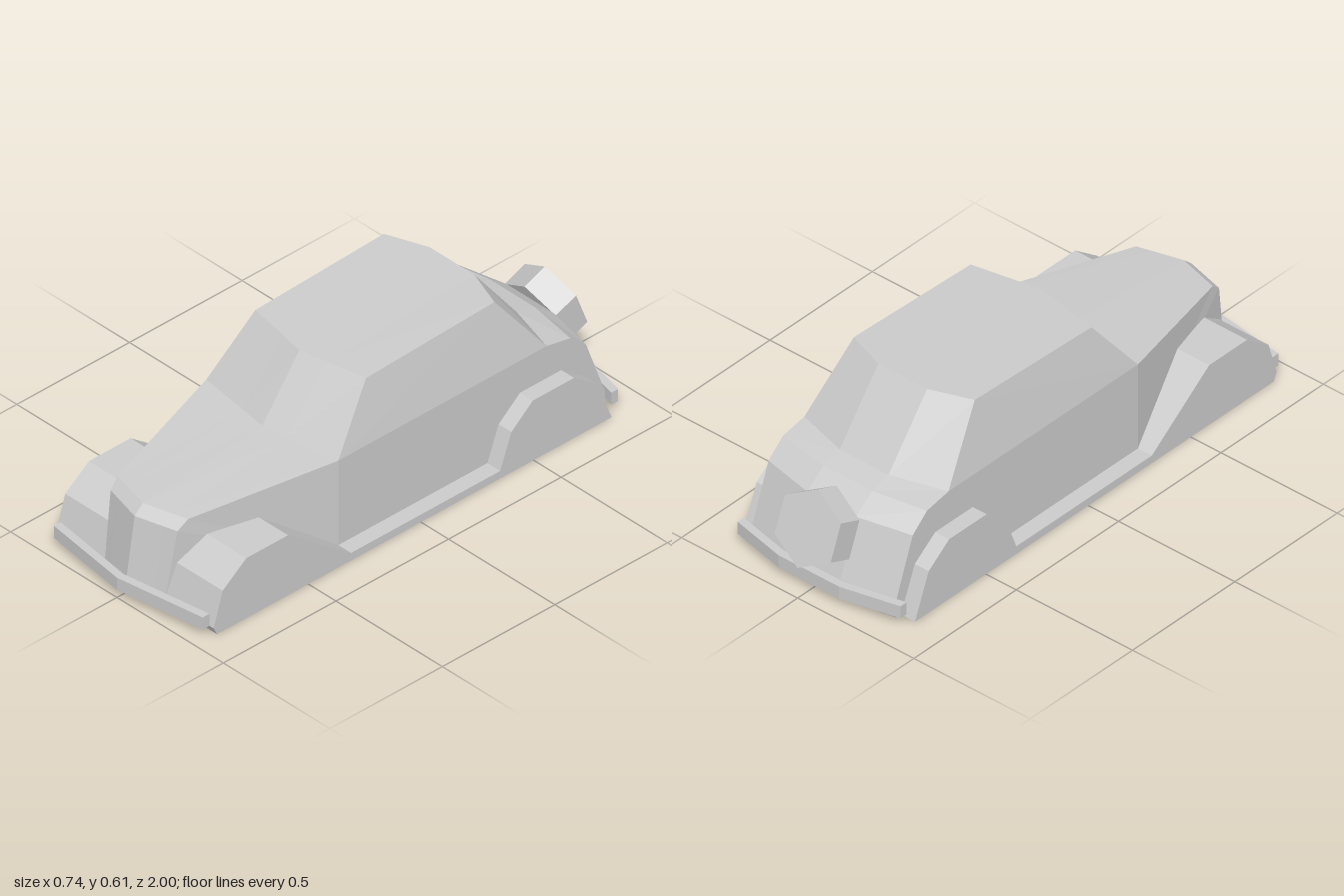
import * as THREE from 'three';

const material = new THREE.MeshStandardMaterial({ color: 0xcccccc, flatShading: true });

function addMesh(group, name, geometry) {
  const mesh = new THREE.Mesh(geometry, material);
  mesh.name = name;
  group.add(mesh);
  return mesh;
}

function extrude(points, depth) {
  const shape = new THREE.Shape(points.map(([x, y]) => new THREE.Vector2(x, y)));
  return new THREE.ExtrudeGeometry(shape, { depth, bevelEnabled: false });
}

// Body stations, nose to tail over the roof: half width, y, z at the edge, z at the middle
const STATIONS = [
  [0.14, 0, 0.9, 0.94],
  [0.142, 0.03, 0.92, 0.962],
  [0.157, 0.285, 0.88, 0.922],
  [0.165, 0.318, 0.84, 0.885],
  [0.31, 0.365, 0.31, 0.355],
  [0.26, 0.583, 0.14, 0.19],
  [0.26, 0.605, -0.43, -0.487],
  [0.31, 0.365, -0.615, -0.675],
  [0.31, 0.345, -0.72, -0.755],
  [0.31, 0.285, -0.79, -0.835],
  [0.31, 0.03, -0.885, -0.925],
  [0.31, 0, -0.87, -0.91],
  [0.31, 0, 0.31, 0.31],
];

function bodyGeometry() {
  const positions = [];
  const fan = (pts) => {
    for (let i = 1; i < pts.length - 1; i++) positions.push(...pts[0], ...pts[i], ...pts[i + 1]);
  };

  // The front is a shallow V; the tail has a flat middle panel
  const rows = STATIONS.map(([w, y, edge, mid]) => {
    const m = 0.105;
    const zm = edge < 0 ? mid : mid + (edge - mid) * (m / w);
    return [[-w, y, edge], [-m, y, zm], [0, y, mid], [m, y, zm], [w, y, edge]];
  });
  rows.forEach((row, s) => {
    const next = rows[(s + 1) % rows.length];
    for (let i = 0; i < 4; i++) fan([row[i], row[i + 1], next[i + 1], next[i]]);
  });

  // Sides: bonnet, lower body and cabin
  const sides = [[12, 4, 3, 2, 1, 0], [12, 11, 10, 9, 8, 7, 4], [4, 7, 6, 5]];
  for (const side of sides) {
    fan(side.map((s) => rows[s][4]));
    const mirrored = side.map((s) => rows[s][0]);
    fan([mirrored[0], ...mirrored.slice(1).reverse()]);
  }

  const geometry = new THREE.BufferGeometry();
  geometry.setAttribute('position', new THREE.Float32BufferAttribute(positions, 3));
  geometry.computeVertexNormals();
  return geometry;
}

// A bar following a bent front edge, given for the left half from the end inward
function bumperGeometry(half, thickness) {
  const outer = [...half, ...half.filter(([x]) => x > 0).reverse().map(([x, z]) => [-x, z])];
  const inner = outer.map(([x, z]) => [x, z - thickness]).reverse();
  return extrude([...outer, ...inner], 0.048).rotateX(Math.PI / 2).translate(0, 0.078, 0);
}

export function createModel() {
  const group = new THREE.Group();
  group.name = 'car';

  addMesh(group, 'body', bodyGeometry());

  // Fenders and running boards share one side outline (z, y)
  const fenders = extrude([
    [0.905, 0], [0.92, 0.03], [0.88, 0.16], [0.775, 0.238], [0.59, 0.238], [0.31, 0.03],
    [-0.352, 0.03], [-0.402, 0.16], [-0.497, 0.238], [-0.68, 0.238], [-0.78, 0.165], [-0.847, 0],
  ], 0.74);
  fenders.translate(0, 0, -0.37).rotateY(-Math.PI / 2);
  addMesh(group, 'fendersAndRunningBoards', fenders);

  // Bumpers
  addMesh(group, 'frontBumper', bumperGeometry([[0.35, 0.95], [0, 1]], 0.03));
  addMesh(group, 'rearBumper', bumperGeometry([[0.35, -0.865], [0.13, -0.915]], -0.03 * -1));

  // Spare wheel cover leaning on the tail
  const spare = addMesh(group, 'spareWheelCover', new THREE.CylinderGeometry(0.139, 0.139, 0.097, 6));
  spare.rotation.x = -1.2;
  spare.position.set(0, 0.2325, -0.905);

  return group;
}
